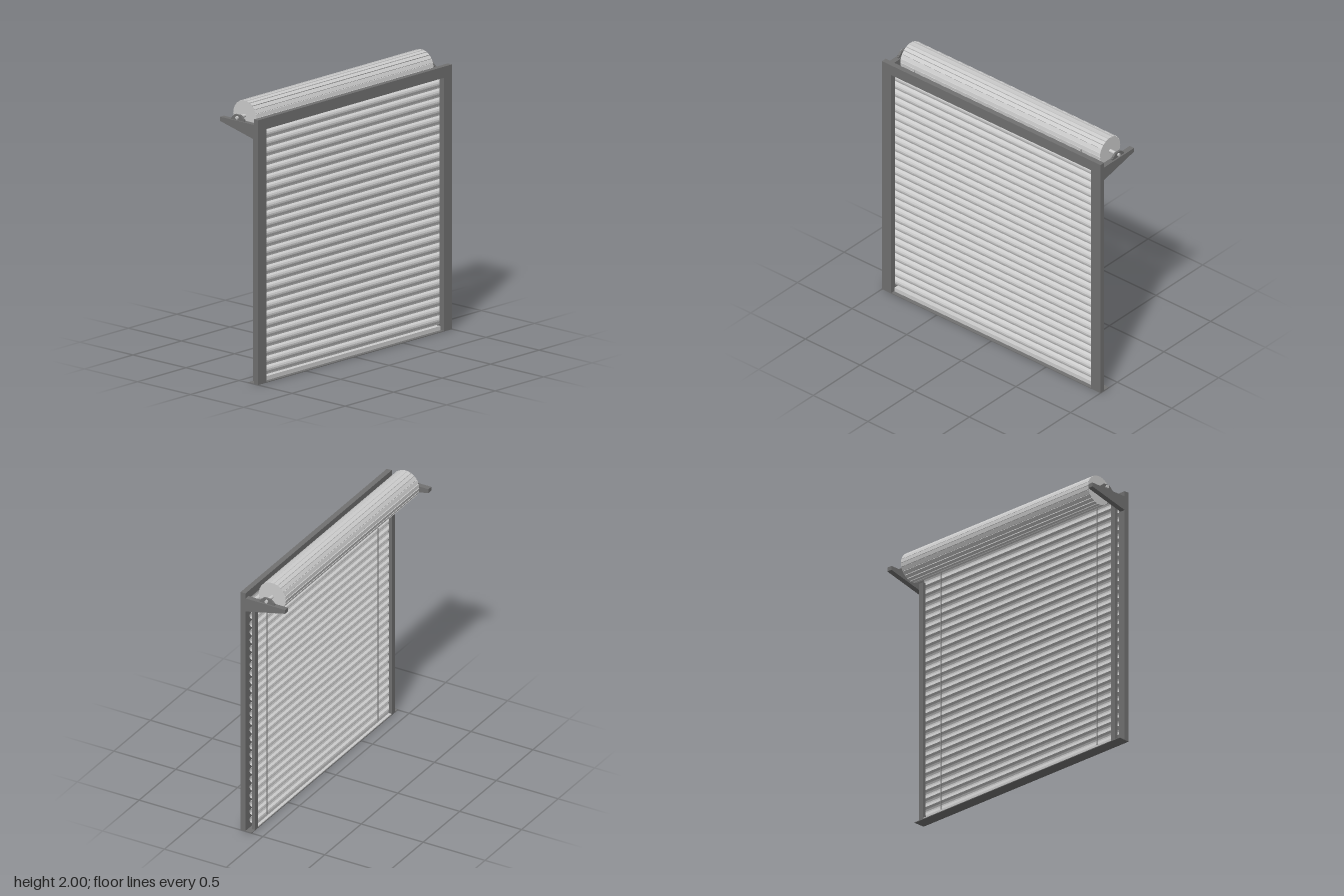
import * as THREE from 'three';

export function createModel() {
  const door = new THREE.Group();
  door.name = 'rollerShutterDoor';
  const light = new THREE.MeshStandardMaterial({ color: 0xcccccc, flatShading: true, side: THREE.DoubleSide });
  const dark = new THREE.MeshStandardMaterial({ color: 0x707070, flatShading: true });

  function add(name, geometry, material) {
    const mesh = new THREE.Mesh(geometry, material);
    mesh.name = name;
    door.add(mesh);
    return mesh;
  }
  // Box given by its limits on each axis
  function box(name, x0, x1, y0, y1, z0, z1, material) {
    const g = new THREE.BoxGeometry(x1 - x0, y1 - y0, z1 - z0);
    g.translate((x0 + x1) / 2, (y0 + y1) / 2, (z0 + z1) / 2);
    return add(name, g, material);
  }
  // Side profile of [z, y] points, extruded from x0 to x1
  function sideProfile(name, points, x0, x1, material) {
    const shape = new THREE.Shape(points.map(([z, y]) => new THREE.Vector2(z, y)));
    const g = new THREE.ExtrudeGeometry(shape, { depth: x1 - x0, bevelEnabled: false });
    g.rotateY(-Math.PI / 2);
    g.translate(x1, 0, 0);
    return add(name, g, material);
  }
  // Cylinder lying along x
  function rod(name, radius, x0, x1, y, z, sides, material) {
    const g = new THREE.CylinderGeometry(radius, radius, x1 - x0, sides);
    g.rotateZ(Math.PI / 2);
    g.translate((x0 + x1) / 2, y, z);
    return add(name, g, material);
  }

  const axisY = 1.89, axisZ = -0.025;

  // Front frame and floor plate
  box('lintel', -1, 1, 1.83, 1.91, 0.14, 0.18, dark);
  box('floorPlate', -1, 1, 0, 0.005, 0.09, 0.18, dark);

  for (const s of [-1, 1]) {
    const span = (a, b) => (s > 0 ? [a, b] : [-b, -a]);
    box('post', ...span(0.915, 1), 0, 1.83, 0.14, 0.18, dark);
    box('guideRail', ...span(0.915, 0.957), 0, 1.82, 0.09, 0.113, dark);

    // Tapered bracket that carries the drum
    sideProfile('bracket', [[0.14, 1.765], [0.14, 1.87], [-0.18, 1.87], [-0.18, 1.84]],
      ...span(0.96, 1), dark);

    // Bearing block with its bolts
    sideProfile('bearingBlock', [
      [0.035, 1.87], [0.035, 1.88], [0.012, 1.9], [0.002, 1.91],
      [-0.052, 1.91], [-0.062, 1.9], [-0.085, 1.88], [-0.085, 1.87],
    ], ...span(0.972, 0.988), dark);
    for (const z of [-0.075, 0.025]) {
      const bolt = add('bearingBolt', new THREE.CylinderGeometry(0.007, 0.007, 0.02, 6), dark);
      bolt.position.set(s * 0.98, 1.88, z);
    }

    // Pull cord behind the curtain
    const cord = add('cord', new THREE.CylinderGeometry(0.003, 0.003, 1.87, 6), dark);
    cord.position.set(s * 0.76, 0.965, 0.109);
  }

  // Shaft and rolled slats
  rod('shaft', 0.012, -1, 1, axisY, axisZ, 12, light);
  const rim = [];
  const teeth = 22;
  for (let i = 0; i < teeth; i++) {
    for (const [offset, r] of [[0, 0.11], [0.85, 0.108], [0.93, 0.104]]) {
      const a = ((i + offset) / teeth) * Math.PI * 2;
      rim.push([axisZ + r * Math.cos(a), axisY + r * Math.sin(a)]);
    }
  }
  sideProfile('rolledCurtain', rim, -0.913, 0.913, light);

  // Hanging curtain: one slat section repeated up its height
  const pitch = 0.0655, slats = 28, half = 0.95;
  const section = [[0.113, 0], [0.116, 0.012], [0.133, 0.02], [0.137, 0.032], [0.137, 0.044], [0.131, 0.056]];
  const positions = [], index = [];
  for (let i = 0; i < slats; i++) {
    for (const [z, y] of section) {
      const h = 0.035 + i * pitch + y;
      positions.push(-half, h, z, half, h, z);
    }
  }
  for (let i = 0; i < positions.length / 6 - 1; i++) {
    const k = i * 2;
    index.push(k, k + 1, k + 3, k, k + 3, k + 2);
  }
  const curtain = new THREE.BufferGeometry();
  curtain.setAttribute('position', new THREE.Float32BufferAttribute(positions, 3));
  curtain.setIndex(index);
  curtain.computeVertexNormals();
  add('curtain', curtain, light);

  // Bottom bar with its rear flange
  box('bottomBar', -0.912, 0.912, 0.005, 0.035, 0.113, 0.15, light);
  box('bottomFlange', -0.912, 0.912, 0.005, 0.012, 0.092, 0.113, light);

  return door;
}
